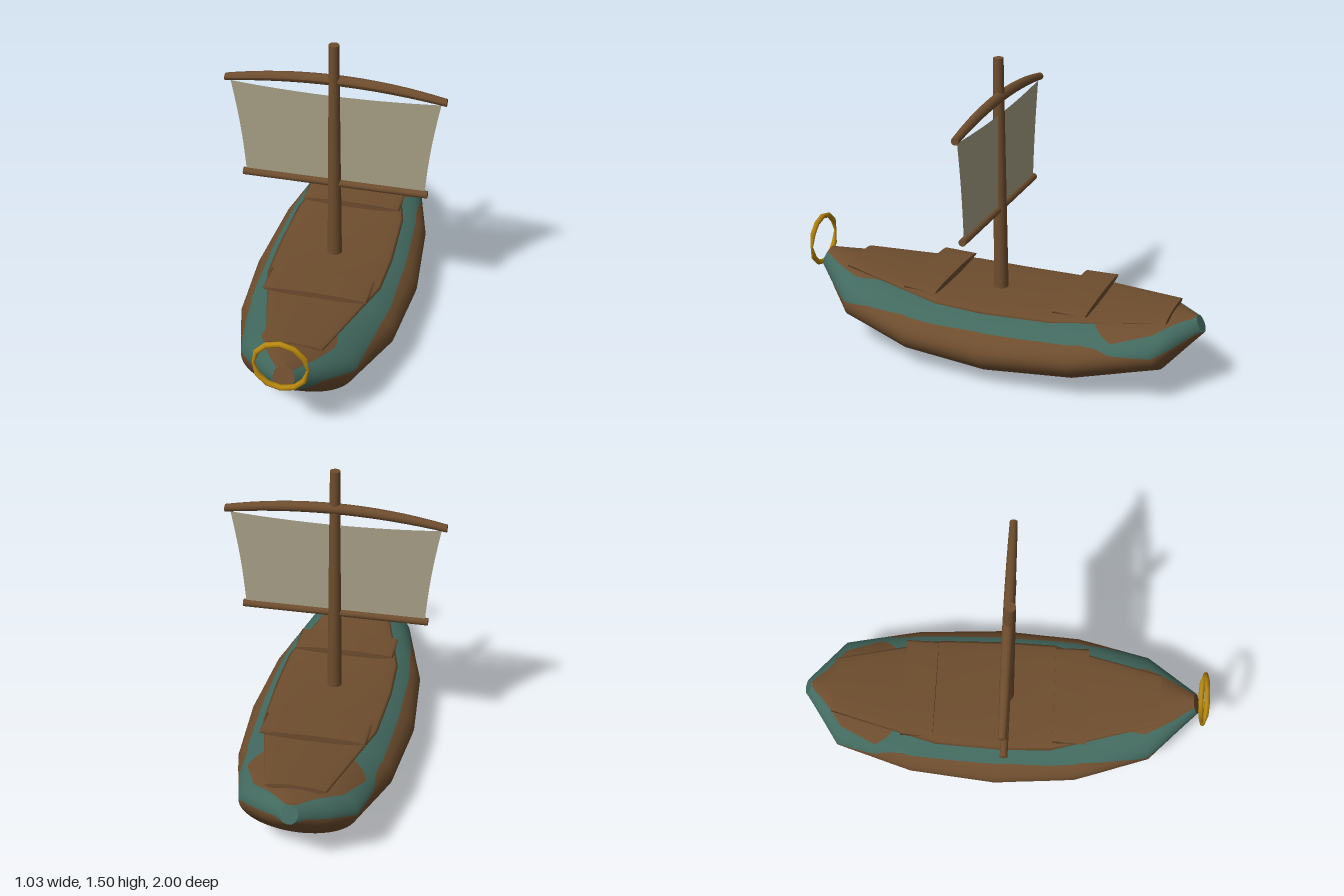
import * as THREE from 'three';

const mat = (name, color, side = THREE.FrontSide) => {
  const m = new THREE.MeshStandardMaterial({ color, side });
  m.name = name;
  return m;
};

// Hull stations, bow to stern: z, centre y, half width, half height, z lean of the top
const STATIONS = [
  [0.96, 0.36, 0.05, 0.05, -0.02], [0.73, 0.25, 0.265, 0.14, -0.03],
  [0.37, 0.19, 0.375, 0.16, -0.015], [-0.03, 0.175, 0.405, 0.17, 0],
  [-0.45, 0.2, 0.37, 0.16, 0.01], [-0.82, 0.26, 0.27, 0.125, 0.025],
  [-0.98, 0.345, 0.04, 0.038, 0.02],
];
// Painted band: z, lower and upper angle in degrees around the section
const BAND = [
  [-1, -90, 90], [-0.96, -20, 60], [-0.82, 0, 42], [-0.64, 12, 30], [-0.58, 24, 44],
  [-0.5, 30, 70], [-0.2, 32, 70], [0, 34, 70], [0.25, 30, 70], [0.4, 31, 70], [0.6, 18, 60],
  [0.72, 4, 50], [0.85, -14, 45], [0.91, -90, 45], [1, -90, 45],
];

const mix = (a, b, t) => a.map((v, i) => v + (b[i] - v) * t);

function station(s) {
  const c = Math.min(Math.max(s, 0), STATIONS.length - 1);
  const i = Math.min(Math.floor(c), STATIONS.length - 2);
  return mix(STATIONS[i], STATIONS[i + 1], c - i);
}

function band(z) {
  const i = Math.max(1, BAND.findIndex((b) => b[0] >= z));
  const [a, b] = [BAND[i - 1], BAND[i]];
  return mix(a, b, (z - a[0]) / (b[0] - a[0])).slice(1).map(THREE.MathUtils.degToRad);
}

function hullPoint(s, a) {
  const [z, y, w, h, lean] = station(s);
  return new THREE.Vector3(w * Math.cos(a), y + h * Math.sin(a), z + lean * Math.sin(a));
}

function hullNormal(s, a) {
  const ds = hullPoint(s + 0.5, a).sub(hullPoint(s - 0.5, a));
  const da = hullPoint(s, a + 0.02).sub(hullPoint(s, a - 0.02));
  return ds.cross(da).normalize();
}

// One lengthwise strake of a hull side, between the limits given by range(z)
function strake(side, range, rows) {
  const pos = [], nor = [], idx = [], cols = 96;
  for (let i = 0; i <= cols; i++) {
    const s = (i / cols) * (STATIONS.length - 1);
    const [lo, hi] = range(station(s)[0]);
    for (let j = 0; j <= rows; j++) {
      const a = lo + ((hi - lo) * j) / rows;
      const p = hullPoint(s, a), n = hullNormal(s, a);
      pos.push(p.x * side, p.y, p.z);
      nor.push(n.x * side, n.y, n.z);
      if (i === cols || j === rows) continue;
      const q = i * (rows + 1) + j, r = q + rows + 1;
      if (side > 0) idx.push(q, r, r + 1, q, r + 1, q + 1);
      else idx.push(q, r + 1, r, q, q + 1, r + 1);
    }
  }
  const g = new THREE.BufferGeometry();
  g.setAttribute('position', new THREE.Float32BufferAttribute(pos, 3));
  g.setAttribute('normal', new THREE.Float32BufferAttribute(nor, 3));
  g.setIndex(idx);
  return g;
}

// Move each vertex of a geometry by a rule
function reshape(g, rule) {
  const p = g.attributes.position, v = new THREE.Vector3();
  for (let i = 0; i < p.count; i++) {
    rule(v.fromBufferAttribute(p, i));
    p.setXYZ(i, v.x, v.y, v.z);
  }
  g.computeVertexNormals();
  return g;
}

// Lens-shaped plank lofted along z through rows of [z, y, half width]
function plank(rows, thick) {
  const n = rows.length - 1;
  const g = new THREE.CylinderGeometry(1, 1, 1, 20, n).rotateX(Math.PI / 2);
  return reshape(g, (v) => {
    const [z, y, w] = rows[Math.round((v.z + 0.5) * n)];
    v.set(v.x * w, y + v.y * thick, z);
  });
}

export function createModel() {
  const model = new THREE.Group();
  model.name = 'sailingBoat';
  const wood = mat('wood', 0x6e4d2e);
  const paint = mat('tealPaint', 0x42695f);
  const cloth = mat('sailCloth', 0xa8a188, THREE.DoubleSide);
  const gold = mat('gold', 0xb5850f);
  const add = (name, geometry, material, parent = model) => {
    const m = new THREE.Mesh(geometry, material);
    m.name = name;
    parent.add(m);
    return m;
  };

  // Hull sides, each split into bottom, painted band and upper edge
  const hull = new THREE.Group();
  hull.name = 'hull';
  model.add(hull);
  const end = Math.PI / 2;
  for (const [label, side] of [['left', 1], ['right', -1]]) {
    add(label + 'HullBottom', strake(side, (z) => [-end, band(z)[0]], 14), wood, hull);
    add(label + 'PaintedBand', strake(side, band, 8), paint, hull);
    add(label + 'HullTop', strake(side, (z) => [band(z)[1], end], 6), wood, hull);
  }

  // Closing discs at bow and stern
  const endDisc = (name, [z, y, w, h, lean], turn, material) => {
    const g = new THREE.CircleGeometry(1, 24).scale(w, Math.hypot(h, lean), 1);
    g.rotateY(turn).rotateX(Math.atan2(lean, h)).translate(0, y, z);
    add(name, g, material, hull);
  };
  endDisc('bowEnd', STATIONS[0], 0, wood);
  endDisc('sternEnd', STATIONS[STATIONS.length - 1], Math.PI, paint);

  // Deck and benches
  add('deck', plank([[-0.85, 0.385, 0.14], [-0.33, 0.352, 0.272], [0, 0.342, 0.285],
    [0.24, 0.348, 0.277], [0.78, 0.387, 0.13]], 0.018), wood);
  add('rearBench', plank([[-0.5, 0.4, 0.25], [-0.34, 0.396, 0.25]], 0.016), wood);
  add('frontBench', plank([[0.25, 0.386, 0.25], [0.415, 0.39, 0.25]], 0.016), wood);

  // Mast, leaning slightly forward
  const mast = add('mast', new THREE.CylinderGeometry(0.024, 0.036, 1.2, 16), wood);
  mast.position.set(0, 0.9, 0.02);
  mast.rotation.x = 0.012;

  // Arched upper yard and straight lower boom
  const yard = new THREE.CylinderGeometry(0.018, 0.018, 1.03, 12, 16).rotateZ(Math.PI / 2);
  add('upperYard', reshape(yard, (v) => {
    const f = 1 - (v.x / 0.515) ** 2;
    v.y = v.y * (1 + 0.4 * f) + 1.268 + 0.048 * f;
    v.z = v.z * (1 + 0.4 * f) + 0.018;
  }), wood);
  const boom = add('lowerBoom', new THREE.CylinderGeometry(0.018, 0.018, 0.89, 12), wood);
  boom.rotation.z = Math.PI / 2;
  boom.position.set(0, 0.765, 0.02);

  // Sail, wider at the top, with a dipping upper edge
  add('sail', reshape(new THREE.PlaneGeometry(2, 1, 16, 8), (v) => {
    const t = v.y + 0.5, top = 1.232 + 0.02 * v.x * v.x;
    const w = 0.43 + 0.06 * t - 0.008 * Math.sin(Math.PI * t);
    v.set(v.x * w, 0.77 + (top - 0.77) * t, 0.018);
  }), cloth);

  // Bow ring, narrowed at both sides
  const R = 0.122;
  const ring = reshape(new THREE.TorusGeometry(R, 0.0135, 8, 12), (v) => {
    const a = Math.atan2(v.y, v.x);
    const k = Math.abs(Math.sin(a)) < 0.1 ? 0.45 : 1;
    const r = R + (Math.hypot(v.x, v.y) - R) * k;
    v.set(r * Math.cos(a), r * Math.sin(a), v.z * k);
  });
  add('bowRing', ring, gold).position.set(-0.005, 0.445, 0.986);

  return model;
}
